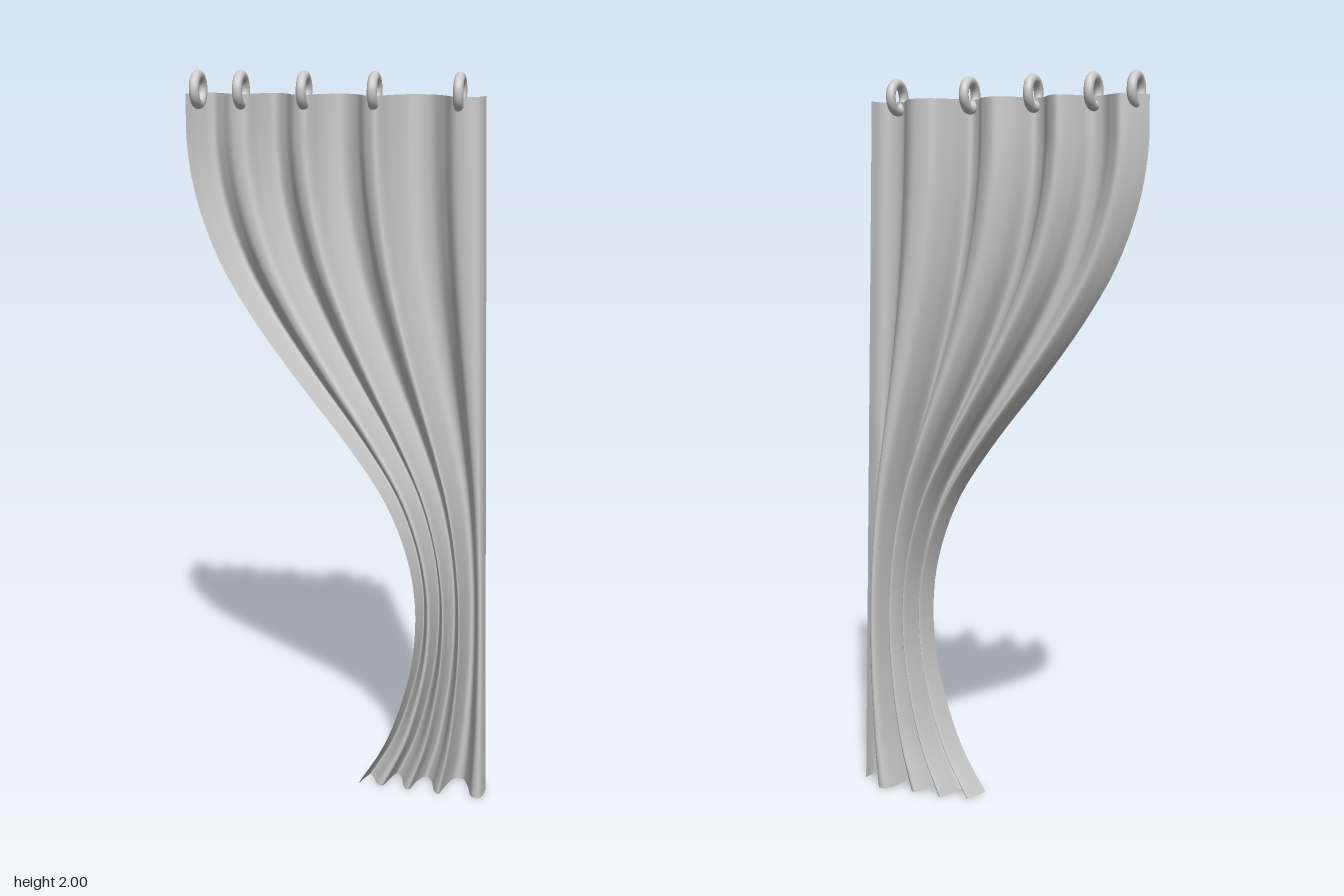
import * as THREE from 'three';

const curve = (pts) => new THREE.CatmullRomCurve3(pts.map(([a, b]) => new THREE.Vector3(a, b, 0)), false, 'centripetal');

// Gathered edge of the cloth as [x, y], bottom to top
const gatheredEdge = curve([
  [0.045, 0], [0.12, 0.13], [0.17, 0.27], [0.2, 0.41], [0.205, 0.57], [0.18, 0.71], [0.12, 0.86], [0.02, 1.01],
  [-0.13, 1.2], [-0.24, 1.35], [-0.33, 1.5], [-0.39, 1.66], [-0.414, 1.8], [-0.415, 1.94],
]);

// Pleat section along the top hem as [x, z]
const pleats = curve([
  [-0.415, 0.03], [-0.395, 0], [-0.36, -0.035], [-0.33, -0.015], [-0.295, 0.018], [-0.26, 0.02],
  [-0.235, -0.02], [-0.2, -0.058], [-0.165, -0.035], [-0.13, 0.018], [-0.1, 0.03],
  [-0.065, -0.025], [-0.02, -0.056], [0.025, -0.03], [0.055, 0.02], [0.085, 0.036],
  [0.115, -0.015], [0.155, -0.063], [0.21, -0.064], [0.25, -0.025], [0.285, 0.028], [0.33, 0.036],
  [0.35, 0.02], [0.36, -0.015],
]);

const TOP = 1.94, HEM_LEFT = -0.415, HEM_WIDTH = 0.775;

function createCloth() {
  const cols = 138, rows = 52;
  const geometry = new THREE.PlaneGeometry(1, 1, cols, rows);
  const position = geometry.attributes.position;
  const section = pleats.getPoints(cols);
  const edge = gatheredEdge.getPoints(rows).reverse();
  // Squeeze the pleat section between the gathered edge and the straight edge
  for (let j = 0, k = 0; j <= rows; j++) {
    const { x: left, y } = edge[j];
    const right = 0.41 - 0.05 * y / TOP;
    for (let i = 0; i <= cols; i++, k++) {
      const u = (section[i].x - HEM_LEFT) / HEM_WIDTH;
      position.setXYZ(k, left + (right - left) * u, y, section[i].y);
    }
  }
  geometry.computeVertexNormals();
  return geometry;
}

export function createModel() {
  const group = new THREE.Group();
  group.name = 'curtain';

  const cloth = new THREE.Mesh(createCloth(), new THREE.MeshStandardMaterial({ color: 0xcccccc, side: THREE.DoubleSide }));
  cloth.name = 'pleatedCloth';
  group.add(cloth);

  // Hanging rings along the hem
  const ringGeometry = new THREE.TorusGeometry(0.037, 0.013, 12, 32).rotateY(Math.PI / 2);
  const ringMaterial = new THREE.MeshStandardMaterial({ color: 0xcccccc });
  [-0.385, -0.27, -0.103, 0.08, 0.297].forEach((x, i) => {
    const ring = new THREE.Mesh(ringGeometry, ringMaterial);
    ring.name = `ring${i + 1}`;
    ring.position.set(x, 1.95, 0.014);
    group.add(ring);
  });
  return group;
}
